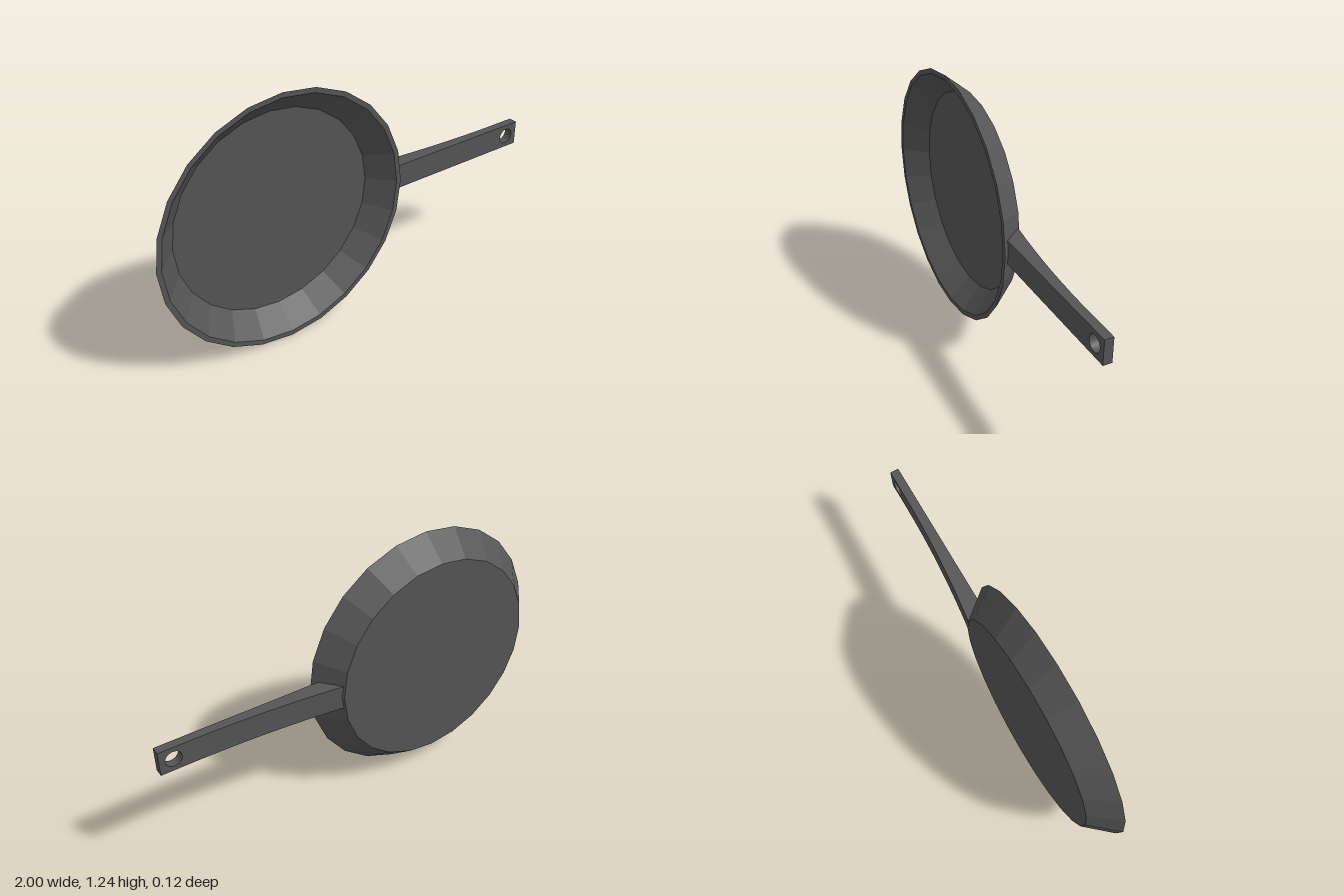
import * as THREE from 'three';
import { mergeGeometries } from 'three/addons/utils/BufferGeometryUtils.js';

const material = new THREE.MeshStandardMaterial({ color: 0x555555, flatShading: true });
const CENTER_X = -0.38, CENTER_Y = 0.622;
const HALF_WIDTH = 0.06, FRONT_Z = 0.037, TIP_BACK_Z = -0.005;
const BLOCK_X = 0.86; // where the curved grip meets the pierced tip

// Pan body: one closed profile turned around the z axis
function createPan() {
  const profile = [
    [0, -0.062], [0.516, -0.062], [0.62, 0.062],
    [0.596, 0.062], [0.494, -0.046], [0, -0.046],
  ].map(([r, z]) => new THREE.Vector2(r, z));
  const pan = new THREE.Mesh(new THREE.LatheGeometry(profile, 24).rotateX(Math.PI / 2), material);
  pan.name = 'pan';
  pan.position.set(CENTER_X, CENTER_Y, 0);
  return pan;
}

// Grip: a box whose back sweeps towards the pan and whose root is cut along the wall slope
function createGrip() {
  const box = new THREE.BoxGeometry(1, 2 * HALF_WIDTH, 1, 8, 1, 1);
  const p = box.attributes.position;
  for (let i = 0; i < p.count; i++) {
    const t = p.getX(i) + 0.5;
    const isBack = p.getZ(i) < 0;
    const root = isBack ? 0.13 : 0.212;
    const x = THREE.MathUtils.lerp(root, BLOCK_X, t);
    const back = TIP_BACK_Z - 0.05 * (1 - t) ** 2;
    p.setXYZ(i, x, p.getY(i), isBack ? back : FRONT_Z);
  }
  box.setIndex([...box.index.array].slice(6)); // open where it joins the tip
  return box.toNonIndexed();
}

// Tip: flat block with a hanging hole
function createTip() {
  const shape = new THREE.Shape([
    [BLOCK_X, -HALF_WIDTH], [1, -HALF_WIDTH], [1, HALF_WIDTH], [BLOCK_X, HALF_WIDTH],
  ].map(([x, y]) => new THREE.Vector2(x, y)));
  shape.holes.push(new THREE.Path().absarc(0.935, 0, 0.038, 0, Math.PI * 2, true));
  return new THREE.ExtrudeGeometry(shape, {
    depth: FRONT_Z - TIP_BACK_Z, bevelEnabled: false, curveSegments: 16,
  }).translate(0, 0, TIP_BACK_Z);
}

export function createModel() {
  const model = new THREE.Group();
  model.name = 'fryingPan';
  const handle = new THREE.Mesh(mergeGeometries([createGrip(), createTip()]), material);
  handle.name = 'handle';
  handle.position.y = CENTER_Y;
  model.add(createPan(), handle);
  return model;
}
